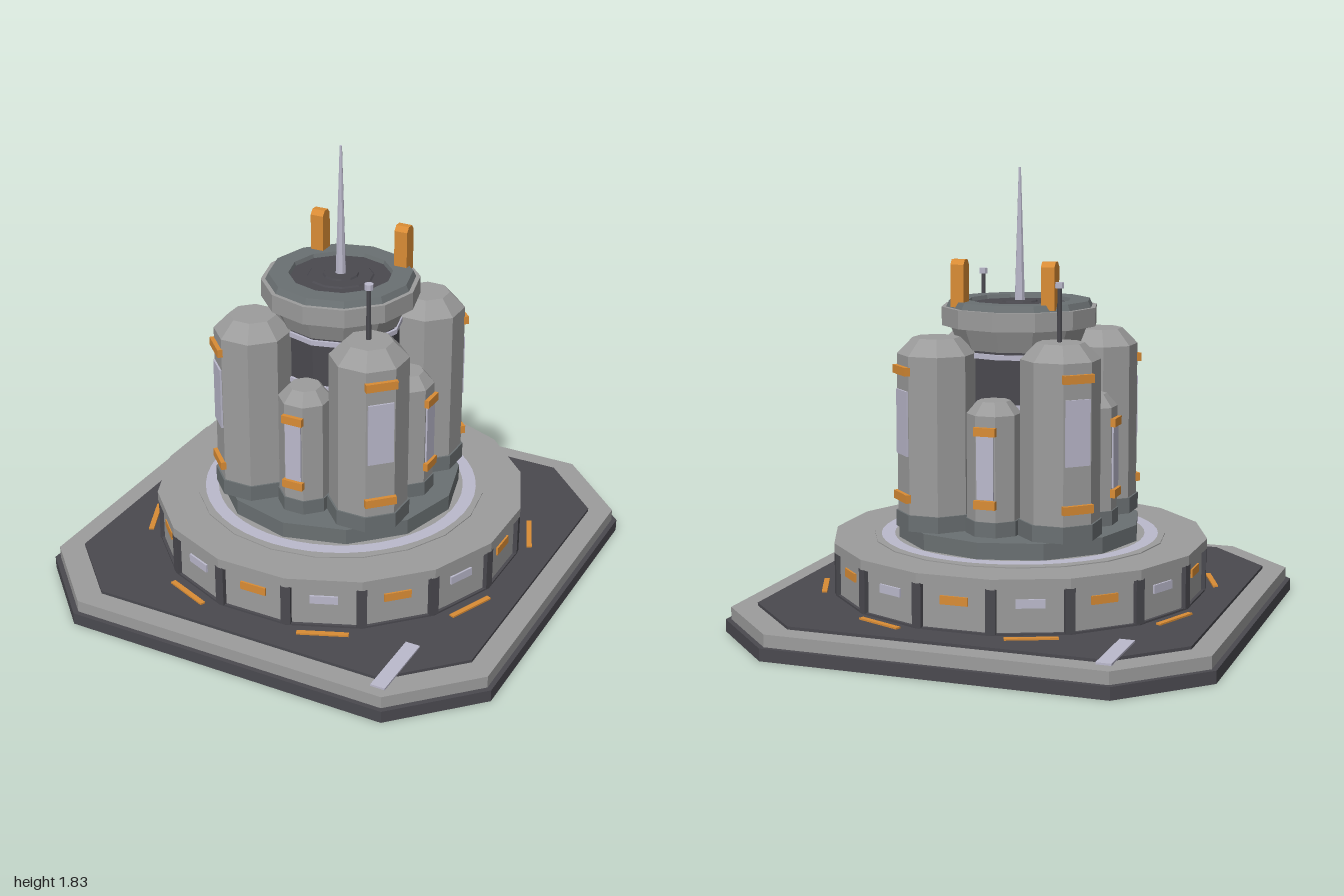
import * as THREE from 'three';

const mat = (name, color) => {
  const m = new THREE.MeshStandardMaterial({ color });
  m.name = name;
  m.flatShading = true;
  return m;
};

export function createModel() {
  const model = new THREE.Group();
  model.name = 'reactorStation';
  const grey = mat('hullGrey', 0x9c9c9c);
  const dark = mat('darkMetal', 0x4a494f);
  const slate = mat('slateGrey', 0x6a7072);
  const pale = mat('paleLavender', 0xbbb9cc);
  const orange = mat('signalOrange', 0xd98c35);

  const add = (parent, name, geo, material, x = 0, y = 0, z = 0, ry = 0) => {
    const m = new THREE.Mesh(geo, material);
    m.name = name;
    m.position.set(x, y, z);
    m.rotation.y = ry;
    parent.add(m);
    return m;
  };
  // Prism or frustum between two heights
  const prism = (parent, name, material, rTop, rBottom, y0, y1, sides, ry = 0, x = 0, z = 0) =>
    add(parent, name, new THREE.CylinderGeometry(rTop, rBottom, y1 - y0, sides), material, x, (y0 + y1) / 2, z, ry);
  const box = (parent, name, material, w, h, d, x, y, z, ry = 0) =>
    add(parent, name, new THREE.BoxGeometry(w, h, d), material, x, y, z, ry);
  const group = (name, angle) => {
    const g = new THREE.Group();
    g.name = name;
    g.rotation.y = angle;
    model.add(g);
    return g;
  };

  // Square slab with cut corners
  const slab = (name, material, half, c, y0, y1) => {
    const pts = [[c, half], [half, c], [half, -c], [c, -half], [-c, -half], [-half, -c], [-half, c], [-c, half]];
    const shape = new THREE.Shape(pts.map(([x, y]) => new THREE.Vector2(x, y)));
    const geo = new THREE.ExtrudeGeometry(shape, { depth: y1 - y0, bevelEnabled: false });
    geo.rotateX(-Math.PI / 2);
    add(model, name, geo, material, 0, y0, 0);
  };
  slab('baseFoot', dark, 1, 0.69, 0, 0.05);
  slab('baseSlab', grey, 0.98, 0.68, 0.05, 0.1);
  slab('baseDeck', dark, 0.89, 0.625, 0.1, 0.112);

  // Deck markings
  for (const s of [1, -1]) box(model, 'deckStripe', pale, 0.06, 0.008, 0.305, s * 0.65, 0.115, s * 0.797);
  for (let i = 0; i < 8; i++) {
    const g = group('deckMarker', Math.PI / 8 + (i * Math.PI) / 4);
    box(g, 'markerStrip', orange, 0.205, 0.008, 0.022, 0, 0.115, 0.803);
  }

  // Sixteen-sided ring wall with ribs and lights
  prism(model, 'ringWall', grey, 0.755, 0.755, 0.11, 0.29, 16, Math.PI / 16);
  prism(model, 'ringFooting', dark, 0.768, 0.768, 0.11, 0.12, 16, Math.PI / 16);
  prism(model, 'ringRoof', grey, 0.772, 0.772, 0.29, 0.33, 16, Math.PI / 16);
  for (let i = 0; i < 16; i++) {
    const a = (i * Math.PI) / 8;
    const g = group('ringBay', a);
    box(g, 'wallLight', i % 2 ? pale : orange, 0.112, 0.034, 0.009, 0, 0.232, 0.744);
    const r = group('ringRib', a + Math.PI / 16);
    box(r, 'rib', dark, 0.04, 0.175, 0.04, 0, 0.205, 0.749);
  }
  prism(model, 'ringInnerPad', grey, 0.6, 0.6, 0.3, 0.334, 20);
  const halo = new THREE.RingGeometry(0.515, 0.57, 48);
  halo.rotateX(-Math.PI / 2);
  add(model, 'glowRing', halo, pale, 0, 0.338, 0);
  prism(model, 'plinth', slate, 0.5, 0.5, 0.33, 0.4, 12);

  // Core column with bands
  prism(model, 'core', dark, 0.24, 0.24, 0.4, 1.13, 12);
  for (const y of [0.49, 0.69, 0.89, 1.09]) prism(model, 'coreBand', pale, 0.252, 0.252, y - 0.01, y + 0.01, 12);

  // Octagonal tank with collar, window and clamps on its outward face
  const tank = (name, angle, o) => {
    const g = group(name, angle);
    const R = o.apothem / Math.cos(Math.PI / 8);
    const p = (part, material, rt, rb, y0, y1) => prism(g, part, material, rt, rb, y0, y1, 8, Math.PI / 8, 0, o.dist);
    p('tankCollar', slate, R * 1.05, R * 1.05, 0.4, o.collar);
    p('tankBody', grey, R, R, o.collar, o.shoulder);
    p('tankCap', grey, R * o.capScale, R, o.shoulder, o.top);
    const face = o.dist + o.apothem;
    const [w0, w1] = o.window;
    box(g, 'tankWindow', pale, o.windowWidth, w1 - w0, 0.009, 0, (w0 + w1) / 2, face + 0.003);
    for (const y of o.clamps) box(g, 'tankClamp', orange, o.clampWidth, 0.034, 0.03, 0, y, face + 0.002);
  };
  for (let i = 0; i < 4; i++) {
    const a = (i * Math.PI) / 2;
    tank('cornerTank', a + Math.PI / 4, {
      apothem: 0.146, dist: 0.368, collar: 0.465, shoulder: 1.1, top: 1.165, capScale: 0.6,
      window: [0.7, 0.96], windowWidth: 0.106, clamps: [0.53, 1.04], clampWidth: 0.13,
    });
    tank('sideTank', a, {
      apothem: 0.1, dist: 0.304, collar: 0.46, shoulder: 0.88, top: 0.93, capScale: 0.6,
      window: [0.55, 0.81], windowWidth: 0.07, clamps: [0.53, 0.82], clampWidth: 0.09,
    });
  }

  // Crown
  prism(model, 'crownFlare', grey, 0.285, 0.25, 1.11, 1.2, 12);
  prism(model, 'crownBand', grey, 0.32, 0.32, 1.2, 1.275, 12);
  const rim = [[0.305, 1.27], [0.29, 1.3], [0.21, 1.3], [0.2, 1.27]].map(([x, y]) => new THREE.Vector2(x, y));
  add(model, 'crownRim', new THREE.LatheGeometry(rim, 12), slate);
  prism(model, 'crownDish', dark, 0.21, 0.21, 1.265, 1.284, 12);
  prism(model, 'dishStep', dark, 0.13, 0.14, 1.28, 1.29, 12);
  prism(model, 'dishHub', dark, 0.07, 0.08, 1.28, 1.297, 12);
  prism(model, 'mast', pale, 0.005, 0.022, 1.28, 1.83, 8);

  // Chamfered fins at the back of the crown
  const finShape = new THREE.Shape(
    [[-0.03, 1.28], [0.03, 1.28], [0.03, 1.45], [0.014, 1.47], [-0.014, 1.47], [-0.03, 1.45]]
      .map(([x, y]) => new THREE.Vector2(x, y)));
  const finGeo = new THREE.ExtrudeGeometry(finShape, { depth: 0.056, bevelEnabled: false });
  finGeo.translate(0, 0, -0.028);
  finGeo.rotateY(Math.PI / 2);
  for (const s of [1, -1]) add(model, 'crownFin', finGeo, orange, s * 0.19, 0, -0.182);

  // Sensor posts on two opposite tanks
  for (const s of [1, -1]) {
    prism(model, 'sensorPost', dark, 0.009, 0.011, 1.16, 1.38, 8, 0, s * 0.253, s * 0.253);
    prism(model, 'sensorTip', pale, 0.018, 0.018, 1.375, 1.398, 8, 0, s * 0.253, s * 0.253);
  }
  return model;
}
